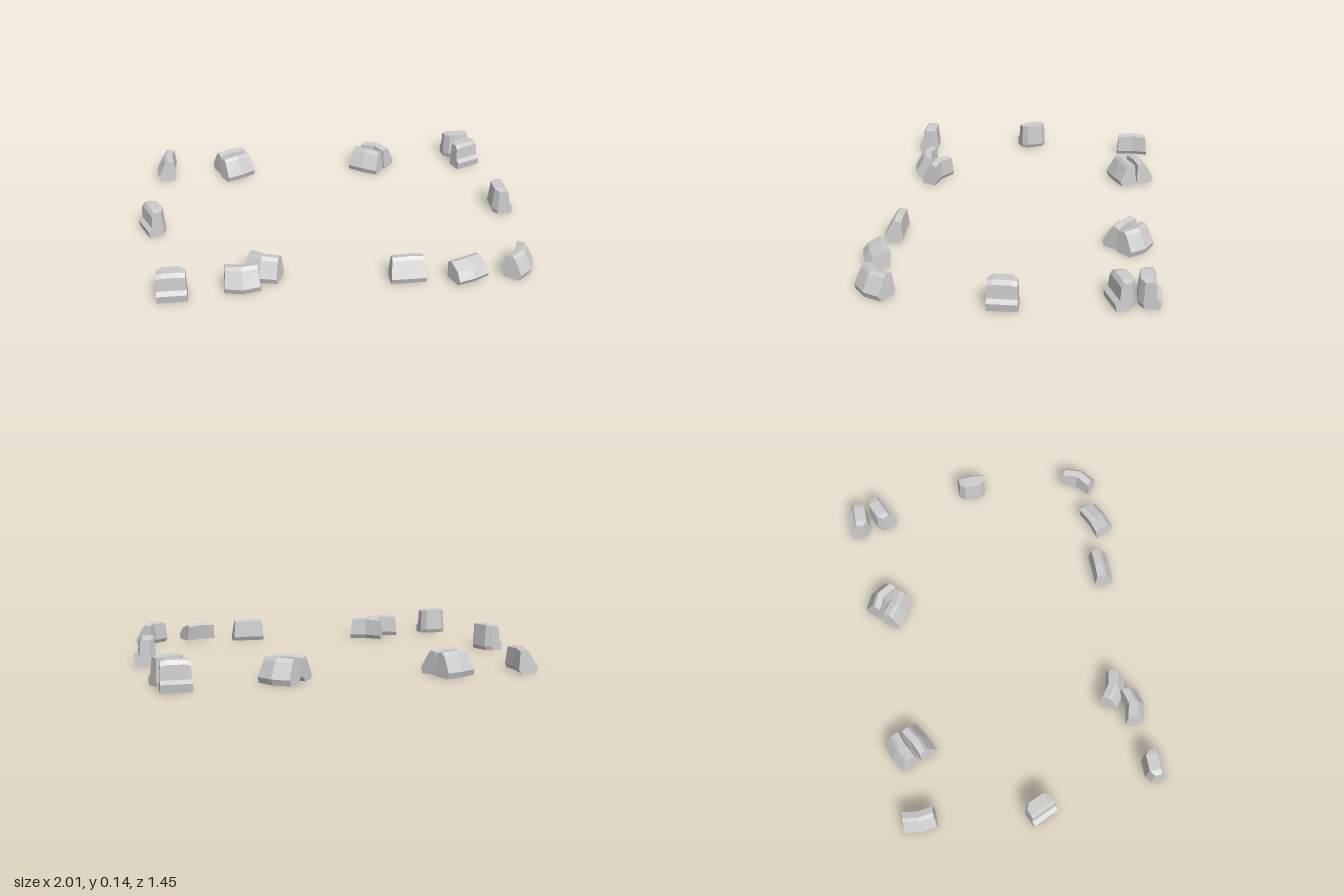
import * as THREE from 'three';

// Cross-sections as [z, y]: up the outer face, over the top, down the inner face
const FOOTED = [[0.048, 0], [0.055, 0.04], [0.033, 0.056], [0.028, 0.125], [0.014, 0.145],
  [-0.045, 0.143], [-0.055, 0.025], [-0.045, 0.004]];
const SLOPED = [[0.04, 0], [0.05, 0.03], [0.008, 0.11], [-0.008, 0.125], [-0.042, 0.117],
  [-0.05, 0.025], [-0.038, 0.003]];
const LOW = [[0.045, 0.015], [0.058, 0.04], [0.03, 0.08], [-0.03, 0.108], [-0.057, 0.097],
  [-0.045, 0.015]];

// Lofts a cross-section along x; shape(x, y, z) returns the moved corner
function loft(profile, stations, shape) {
  const n = profile.length, pos = [], idx = [];
  for (const x of stations) for (const [z, y] of profile) pos.push(...shape(x, y, z));
  for (let i = 0; i < stations.length - 1; i++) {
    for (let j = 0; j < n; j++) {
      const k = (j + 1) % n, a = i * n, b = a + n;
      idx.push(a + j, b + j, b + k, a + j, b + k, a + k);
    }
  }
  // End caps fan out from a point inside the section
  for (const end of [0, stations.length - 1]) {
    const centre = pos.length / 3, c = [0, 0, 0];
    for (let j = 0; j < n; j++) for (let m = 0; m < 3; m++) c[m] += pos[(end * n + j) * 3 + m] / n;
    pos.push(...c);
    for (let j = 0; j < n; j++) {
      const p = end * n + j, q = end * n + (j + 1) % n;
      idx.push(centre, ...(end ? [q, p] : [p, q]));
    }
  }
  const g = new THREE.BufferGeometry();
  g.setAttribute('position', new THREE.Float32BufferAttribute(pos, 3));
  g.setIndex(idx);
  g.computeVertexNormals();
  return g;
}

// Upright block with a projecting foot and cut inner corners
const footedBlock = () => loft(FOOTED, [-0.072, -0.044, 0.044, 0.072], (x, y, z) => {
  const end = Math.abs(x) > 0.05;
  return [x * (1.03 - 0.5 * y), end && y > 0.1 ? y - 0.006 : y, end && z < 0 ? z * 0.5 : z];
});

// Long block, narrower at the top, bowed outwards in the middle
const longBlock = (profile, bend) => loft(profile, [-0.087, 0, 0.087], (x, y, z) =>
  [x * (1.02 - y), x ? y * 0.96 : y, z + (x ? -bend / 2 : bend / 2)]);

export function createModel() {
  const model = new THREE.Group();
  const material = new THREE.MeshStandardMaterial({ color: 0xcccccc, flatShading: true });
  const place = (name, geometry, x, z, turn) => {
    const mesh = new THREE.Mesh(geometry, material);
    mesh.name = name;
    mesh.position.set(x, 0, z);
    mesh.rotation.y = turn;
    model.add(mesh);
  };

  // Footed blocks: x, z, direction of the foot
  [[0.84, -0.675, Math.PI], [0.865, -0.545, 0.4], [-0.935, 0.005, -1.16],
    [0.943, -0.015, Math.PI / 2], [-0.825, 0.625, 0],
  ].forEach(([x, z, turn], i) => place(`footedBlock${i + 1}`, footedBlock(), x, z, turn));

  // Sloped blocks: x, z, direction of the slope, bow
  [[-0.88, -0.61, -Math.PI / 2, 0.012], [-0.51, -0.65, -2.73, 0.006], [-0.47, -0.545, 0.49, 0.006],
    [0.36, -0.625, 2.42, 0.022], [0.28, -0.54, -0.58, 0.006], [-0.49, 0.595, 0, 0.02],
    [-0.385, 0.512, -0.45, 0.018], [0.318, 0.602, 0, 0.002], [0.885, 0.597, 0.94, 0.022],
  ].forEach(([x, z, turn, bend], i) => place(`slopedBlock${i + 1}`, longBlock(SLOPED, bend), x, z, turn));

  // Low block with a broad sloping top
  place('lowBlock', longBlock(LOW, 0.008), 0.612, 0.64, 0.38);
  return model;
}
